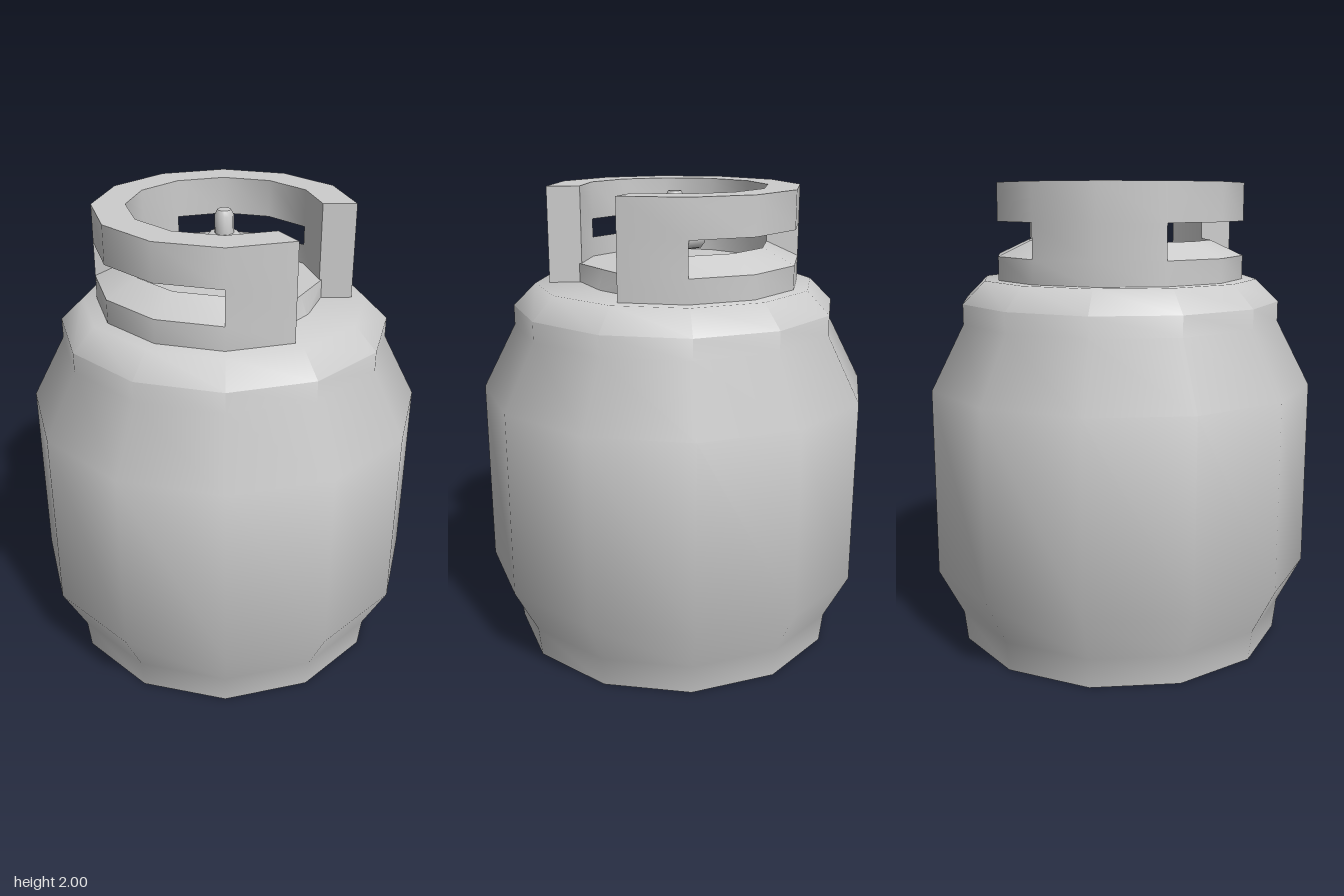
import * as THREE from 'three';
import { toCreasedNormals } from 'three/addons/utils/BufferGeometryUtils.js';

const SIDES = 12;
const R_IN = 0.4, R_OUT = 0.54;

// Revolves a profile of [radius, height] pairs, bottom to top
function turned(profile, sides, crease = 0.9) {
  const points = profile.map(([r, y]) => new THREE.Vector2(r, y));
  return toCreasedNormals(new THREE.LatheGeometry(points, sides), crease);
}

// Adds an arc sweeping a section of four [radius, height] corners, in 30 degree steps
function addArc(out, section, from, to) {
  const at = ([r, y], step) => {
    const t = (step * Math.PI * 2) / SIDES;
    return [r * Math.cos(t), y, r * Math.sin(t)];
  };
  const [p0, p1, p2, p3] = section;
  for (let s = from; s < to; s++) {
    section.forEach((a, i) => {
      const b = section[(i + 1) % 4];
      out.push(...at(a, s), ...at(b, s), ...at(b, s + 1));
      out.push(...at(a, s), ...at(b, s + 1), ...at(a, s + 1));
    });
  }
  for (const p of [p0, p2, p1, p0, p3, p2]) out.push(...at(p, from));
  for (const p of [p0, p1, p2, p0, p2, p3]) out.push(...at(p, to));
}

function collarGeometry() {
  const out = [];
  const band = (outLow, inLow, outHigh, inHigh) =>
    [[R_IN, inLow], [R_OUT, outLow], [R_OUT, outHigh], [R_IN, inHigh]];
  // lower band with a sloping sill, and upper band
  addArc(out, band(1.59, 1.59, 1.695, 1.76), 1, 11);
  addArc(out, band(1.84, 1.84, 2, 2), 1, 11);
  // posts left standing between the two hand slots
  for (const [from, to] of [[1, 2], [5, 7], [10, 11]]) {
    addArc(out, band(1.695, 1.76, 1.84, 1.84), from, to);
  }
  const geometry = new THREE.BufferGeometry();
  geometry.setAttribute('position', new THREE.Float32BufferAttribute(out, 3));
  return toCreasedNormals(geometry, 0.6);
}

// Raised plate inside the collar, cut nearly straight at the open side
function plateGeometry() {
  const geometry = new THREE.CylinderGeometry(0.41, 0.41, 0.09, SIDES);
  const pos = geometry.attributes.position;
  for (let i = 0; i < pos.count; i++) {
    if (pos.getX(i) > 0.4) pos.setX(i, pos.getY(i) > 0 ? 0.357 : 0.39);
  }
  geometry.translate(0, 1.63, 0);
  return toCreasedNormals(geometry, 0.4);
}

export function createModel() {
  const model = new THREE.Group();
  model.name = 'gasBottle';
  const steel = new THREE.MeshStandardMaterial({ color: 0xcccccc });
  steel.name = 'greySteel';

  const add = (name, geometry, parent = model) => {
    const mesh = new THREE.Mesh(geometry, steel);
    mesh.name = name;
    parent.add(mesh);
    return mesh;
  };

  // Tank with foot ring and shoulder
  add('tank', turned([
    [0, 0], [0.72, 0], [0.735, 0.13], [0.84, 0.335], [0.84, 1.14],
    [0.697, 1.415], [0.697, 1.5], [0.6, 1.595], [0, 1.595],
  ], SIDES));

  add('collar', collarGeometry());
  add('topPlate', plateGeometry());

  // Valve: upright body, cross pipe and hand wheel
  const valve = new THREE.Group();
  valve.name = 'valve';
  model.add(valve);
  add('valveBody', turned([
    [0, 1.66], [0.05, 1.66], [0.055, 1.72], [0.075, 1.8], [0.075, 1.865],
    [0.06, 1.882], [0.04, 1.882], [0.04, 1.955], [0.028, 1.978], [0, 1.98],
  ], 12), valve);

  const pipe = add('crossPipe', turned([
    [0, -0.14], [0.035, -0.14], [0.046, -0.125], [0.046, 0.135],
    [0.02, 0.155], [0.02, 0.17], [0, 0.17],
  ], 12), valve);
  const wheel = add('handWheel', turned([
    [0, 0.152], [0.045, 0.152], [0.065, 0.168], [0.065, 0.195], [0.045, 0.212], [0, 0.212],
  ], 12), valve);
  for (const part of [pipe, wheel]) {
    part.rotation.z = -Math.PI / 2;
    part.position.y = 1.77;
  }
  return model;
}
